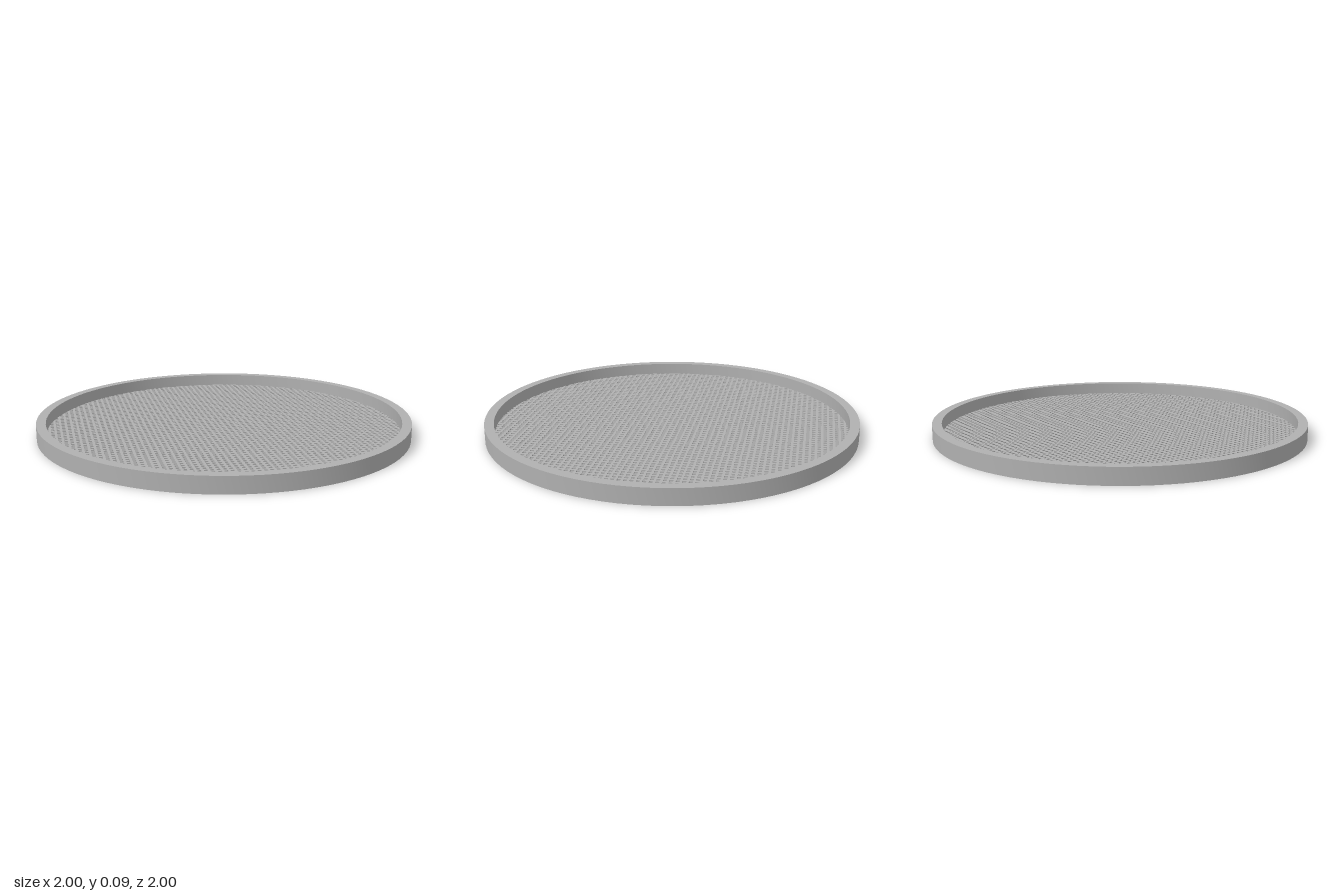
import * as THREE from 'three';
import { toCreasedNormals, mergeGeometries } from 'three/addons/utils/BufferGeometryUtils.js';

const OUTER = 1, INNER = 0.95, HEIGHT = 0.085;
const PITCH = 0.03, BAR = 0.0125, THICK = 0.02;

export function createModel() {
  const model = new THREE.Group();
  model.name = 'sieve';
  const steel = new THREE.MeshStandardMaterial({ color: 0xb0b0b0 });
  steel.name = 'grey steel';

  // Rim: rectangular section turned around the vertical axis
  const section = [
    [OUTER, 0], [OUTER, HEIGHT], [INNER, HEIGHT], [INNER, 0], [OUTER, 0],
  ].map(([r, y]) => new THREE.Vector2(r, y));
  const rim = new THREE.Mesh(
    toCreasedNormals(new THREE.LatheGeometry(section, 96), 0.6), steel);
  rim.name = 'rim';
  model.add(rim);

  // Grid: bars in both directions, each ending inside the rim
  const reach = INNER + 0.01;
  const count = Math.floor(INNER / PITCH);
  const bars = [];
  for (let i = -count; i <= count; i++) {
    const offset = i * PITCH;
    const length = 2 * Math.sqrt(reach * reach - offset * offset);
    bars.push(new THREE.BoxGeometry(length, THICK, BAR).translate(0, THICK / 2, offset));
    bars.push(new THREE.BoxGeometry(BAR, THICK, length).translate(offset, THICK / 2, 0));
  }
  const grid = new THREE.Mesh(mergeGeometries(bars), steel);
  grid.name = 'meshGrid';
  model.add(grid);

  return model;
}
